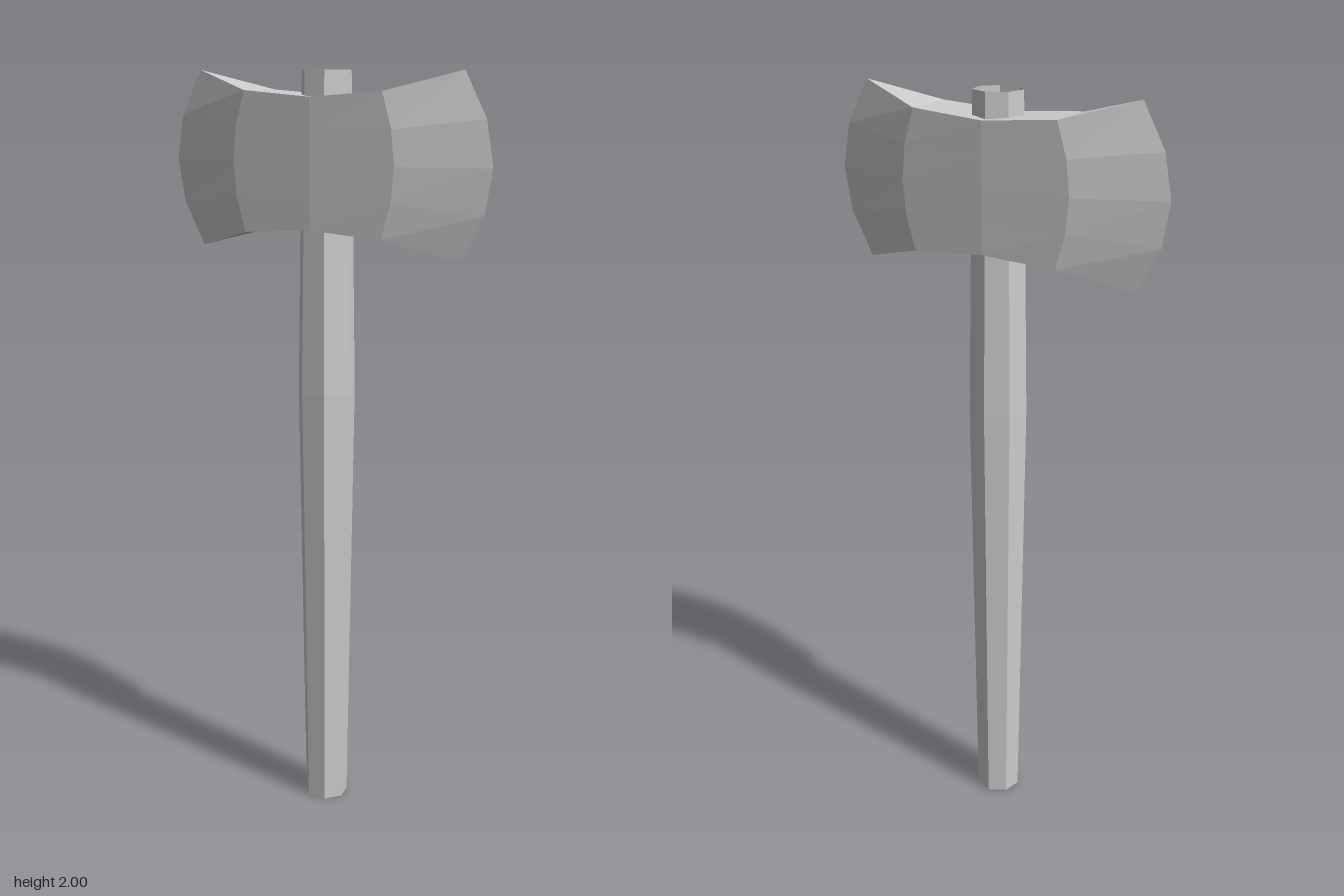
import * as THREE from 'three';

// Seven-sided handle, widest above the middle, open at the top end
function makeHandle() {
  const profile = [[0, 0], [0.059, 0], [0.077, 1.17], [0.065, 2]].map(([r, y]) => new THREE.Vector2(r, y));
  const geometry = new THREE.LatheGeometry(profile, 7, Math.PI, Math.PI * 2);
  const material = new THREE.MeshStandardMaterial({ color: 0xcccccc, flatShading: true, side: THREE.DoubleSide });
  const handle = new THREE.Mesh(geometry, material);
  handle.name = 'handle';
  return handle;
}

// Double-bladed head lofted across x from flat-sided sections that thin out to curved edges
function makeAxeHead() {
  const centreY = 1.77;
  const rows = [-1, -0.5, 0, 0.5, 1];
  // x at the corners, outward bulge at mid height, half height, half thickness
  const stations = [
    { x: -0.385, bulge: -0.08, h: 0.23, z: 0 },
    { x: -0.2, bulge: -0.035, h: 0.18, z: 0.076 },
    { x: 0, bulge: 0, h: 0.165, z: 0.086 },
    { x: 0.2, bulge: 0.035, h: 0.18, z: 0.076 },
    { x: 0.385, bulge: 0.08, h: 0.23, z: 0 },
  ];
  const rings = stations.map((s) => {
    const point = (t, side) =>
      new THREE.Vector3(s.x + s.bulge * (1 - t * t), centreY + s.h * t, s.z * side);
    return [...rows.map((t) => point(t, 1)), ...[...rows].reverse().map((t) => point(t, -1))];
  });

  const points = [];
  const addTriangle = (a, b, c) => {
    if (new THREE.Triangle(a, b, c).getArea() > 1e-7) points.push(a, b, c);
  };
  for (let i = 0; i < rings.length - 1; i++) {
    const n = rings[i].length;
    for (let j = 0; j < n; j++) {
      const k = (j + 1) % n;
      const [a, b, c, d] = [rings[i][j], rings[i + 1][j], rings[i + 1][k], rings[i][k]];
      addTriangle(a, b, c);
      addTriangle(a, c, d);
    }
  }
  const geometry = new THREE.BufferGeometry().setFromPoints(points);
  geometry.computeVertexNormals();
  const head = new THREE.Mesh(geometry, new THREE.MeshStandardMaterial({ color: 0xcccccc, flatShading: true }));
  head.name = 'axeHead';
  return head;
}

export function createModel() {
  const model = new THREE.Group();
  model.name = 'doubleAxe';
  model.add(makeHandle(), makeAxeHead());
  return model;
}
